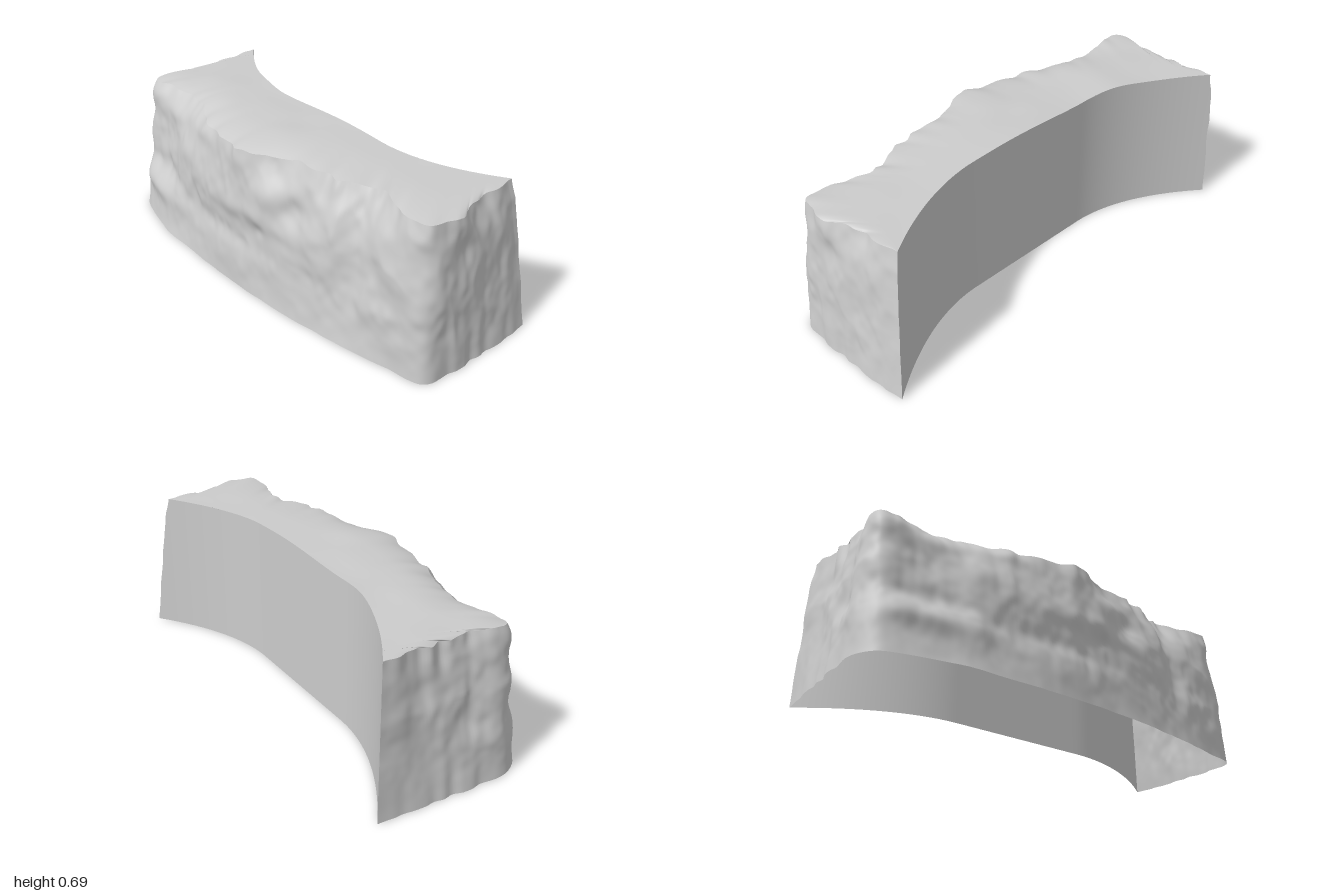
import * as THREE from 'three';

// Matching outline points from the left back corner, round the front, to the
// right back corner: [bottom x, bottom z, top x, top z]
const OUTLINE = [
  [0.955, -0.39, 0.865, -0.31], [0.977, -0.25, 0.89, -0.2], [0.985, -0.08, 0.905, -0.06],
  [0.993, 0.08, 0.94, 0.06], [0.975, 0.205, 0.915, 0.16], [0.8, 0.255, 0.8, 0.18],
  [0.6, 0.3, 0.61, 0.13], [0.42, 0.335, 0.45, 0.2], [0.18, 0.365, 0.18, 0.245],
  [0, 0.378, 0, 0.335], [-0.2, 0.385, -0.2, 0.31], [-0.4, 0.385, -0.4, 0.25],
  [-0.6, 0.385, -0.58, 0.18], [-0.78, 0.35, -0.76, 0.19], [-0.93, 0.3, -0.9, 0.2],
  [-0.987, 0.22, -0.925, 0.14], [-0.985, 0.05, -0.9, 0], [-0.972, -0.15, -0.905, -0.16],
  [-0.955, -0.39, -0.92, -0.36],
];

// Bulges and hollows on the front: [x, y, width, height, depth]
const FEATURES = [
  [-0.75, 0.28, 0.17, 0.05, -0.025], [-0.76, 0.42, 0.15, 0.11, -0.04], [-0.72, 0.18, 0.2, 0.05, 0.022],
  [-0.45, 0.47, 0.12, 0.12, 0.015], [-0.66, 0.57, 0.08, 0.05, 0.025], [-0.85, 0.6, 0.08, 0.05, 0.02],
  [-0.4, 0.6, 0.15, 0.05, 0.02], [0.13, 0.31, 0.14, 0.05, -0.015], [0.12, 0.5, 0.1, 0.08, 0.02],
  [0.28, 0.46, 0.06, 0.06, -0.03], [0.48, 0.5, 0.05, 0.14, 0.015],
  [0.6, 0.45, 0.06, 0.15, -0.015], [-0.1, 0.23, 0.4, 0.06, -0.018], [0, 0.38, 0.2, 0.05, 0.012],
];

const outline = (a, b) =>
  new THREE.CatmullRomCurve3(OUTLINE.map(p => new THREE.Vector3(p[a], 0, p[b])), false, 'centripetal');
const bottomCurve = outline(0, 1), topCurve = outline(2, 3);

// Smooth repeatable value noise in -1..1
function hash(x, y, z) {
  const s = Math.sin(x * 127.1 + y * 311.7 + z * 74.7) * 43758.5453;
  return (s - Math.floor(s)) * 2 - 1;
}
function noise(x, y, z) {
  const ix = Math.floor(x), iy = Math.floor(y), iz = Math.floor(z);
  const f = t => t * t * (3 - 2 * t);
  const fx = f(x - ix), fy = f(y - iy), fz = f(z - iz);
  let sum = 0;
  for (let i = 0; i < 8; i++) {
    const a = i & 1, b = (i >> 1) & 1, c = i >> 2;
    sum += hash(ix + a, iy + b, iz + c) * (a ? fx : 1 - fx) * (b ? fy : 1 - fy) * (c ? fz : 1 - fz);
  }
  return sum;
}

const { lerp, smoothstep, clamp } = THREE.MathUtils;
const bell = (d, w) => Math.exp(-(d * d) / (w * w));
// 0 at the two back corners, 1 elsewhere
const cornerFade = u => Math.min(1, Math.min(u, 1 - u) * 14);

// Concave back: flat in the middle, sweeping backwards at both ends
const backZ = x => -0.125 - 0.265 * Math.pow(Math.max(0, Math.abs(x) - 0.33) / 0.625, 1.85);

// Height along the back edge and along the rough outer rim
const backY = x => 0.67 + 0.022 * bell(x - 0.1, 0.35) + 0.014 * bell(x + 0.5, 0.14);
function rimY(x, z, u) {
  const drop = 0.01 + 0.032 * smoothstep(z, 0.15, 0.32) + 0.02 * bell(x + 0.55, 0.25);
  return backY(x) - cornerFade(u) * (drop + 0.008 * noise(x * 16, 5, z * 16));
}

// Point on the rough outside; u runs round the outline, v runs upwards
function rockPoint(u, v) {
  const b = bottomCurve.getPoint(u), t = topCurve.getPoint(u);
  const tangent = bottomCurve.getTangent(u);
  const p = b.clone().lerp(t, v);
  p.y = v * rimY(t.x, t.z, u);
  const front = smoothstep(p.z, 0, 0.2);
  // steep wall that rounds in where the rim recedes
  let d = 0.3 * (b.z - t.z) * Math.sin(Math.PI * Math.pow(v, 1.7)) * front;
  // the ends stay full until close to the rim
  d += 0.012 * (1 - front) * Math.sin(Math.PI * Math.pow(v, 2.5));
  for (const [fx, fy, w, h, depth] of FEATURES) d += front * depth * bell(p.x - fx, w) * bell(p.y - fy, h);
  // weathered bumps and chipped creases, with upright ridges on the ends
  const amount = 0.3 + 0.7 * smoothstep(v, 0, 0.4);
  d += amount * (0.009 * noise(p.x * 6, p.y * 6, p.z * 6) + 0.008 * noise(p.x * 13, p.y * 10, p.z * 13 + 9)
    + 0.01 * (0.35 - Math.abs(noise(p.x * 9 + 4, p.y * 6, p.z * 9))) + 0.003 * noise(p.x * 30, p.y * 22, p.z * 30));
  // jagged rim
  d += 0.014 * smoothstep(v, 0.8, 1) * noise(p.x * 20, 7, p.z * 20);
  d += 0.008 * (1 - front) * noise(3, p.y * 3, p.z * 22);
  d *= lerp(0.4, 1, cornerFade(u));
  p.x += tangent.z * d;
  p.z -= tangent.x * d;
  if (u === 0 || u === 1) p.z = backZ(p.x);
  return p;
}

// Top: from the rough rim (s = 0) across to the concave back edge (s = 1)
const topLeft = rockPoint(0, 1).x, topRight = rockPoint(1, 1).x;
function topPoint(u, s) {
  const rim = rockPoint(u, 1);
  const even = lerp(topLeft, topRight, u);
  const x = lerp(even, clamp(rim.x, topRight, topLeft), 0.5 * cornerFade(u));
  const p = rim.clone().lerp(new THREE.Vector3(x, 0, backZ(x)), s);
  // nearly flat, dipping only close to the rim
  p.y = lerp(backY(p.x), rim.y, Math.pow(1 - s, 5));
  p.y += 0.003 * noise(p.x * 7, 2, p.z * 7) * Math.sin(Math.PI * s) * cornerFade(u);
  return p;
}

// Back: follows the rough sloping end edges
function backPoint(u, v) {
  const x = lerp(rockPoint(0, v).x, rockPoint(1, v).x, u);
  return new THREE.Vector3(x, v * backY(x), backZ(x));
}

// Smooth grid surface from a point rule
function surface(name, nu, nv, rule, flip) {
  const pos = [], index = [];
  for (let i = 0; i <= nu; i++) {
    for (let j = 0; j <= nv; j++) {
      pos.push(...rule(i / nu, j / nv).toArray());
      if (i < nu && j < nv) {
        const a = i * (nv + 1) + j, b = a + nv + 1;
        if (flip) index.push(a, b + 1, a + 1, a, b, b + 1);
        else index.push(a, a + 1, b + 1, a, b + 1, b);
      }
    }
  }
  const geometry = new THREE.BufferGeometry();
  geometry.setAttribute('position', new THREE.Float32BufferAttribute(pos, 3));
  geometry.setIndex(index);
  geometry.computeVertexNormals();
  const mesh = new THREE.Mesh(geometry, new THREE.MeshStandardMaterial({ color: 0xcccccc, side: THREE.DoubleSide }));
  mesh.name = name;
  return mesh;
}

export function createModel() {
  const group = new THREE.Group();
  group.name = 'rockWallSegment';
  // The underside stays open
  group.add(
    surface('roughRockFace', 280, 56, rockPoint, false),
    surface('topSurface', 280, 20, topPoint, false),
    surface('concaveBack', 80, 56, backPoint, true),
  );
  return group;
}
